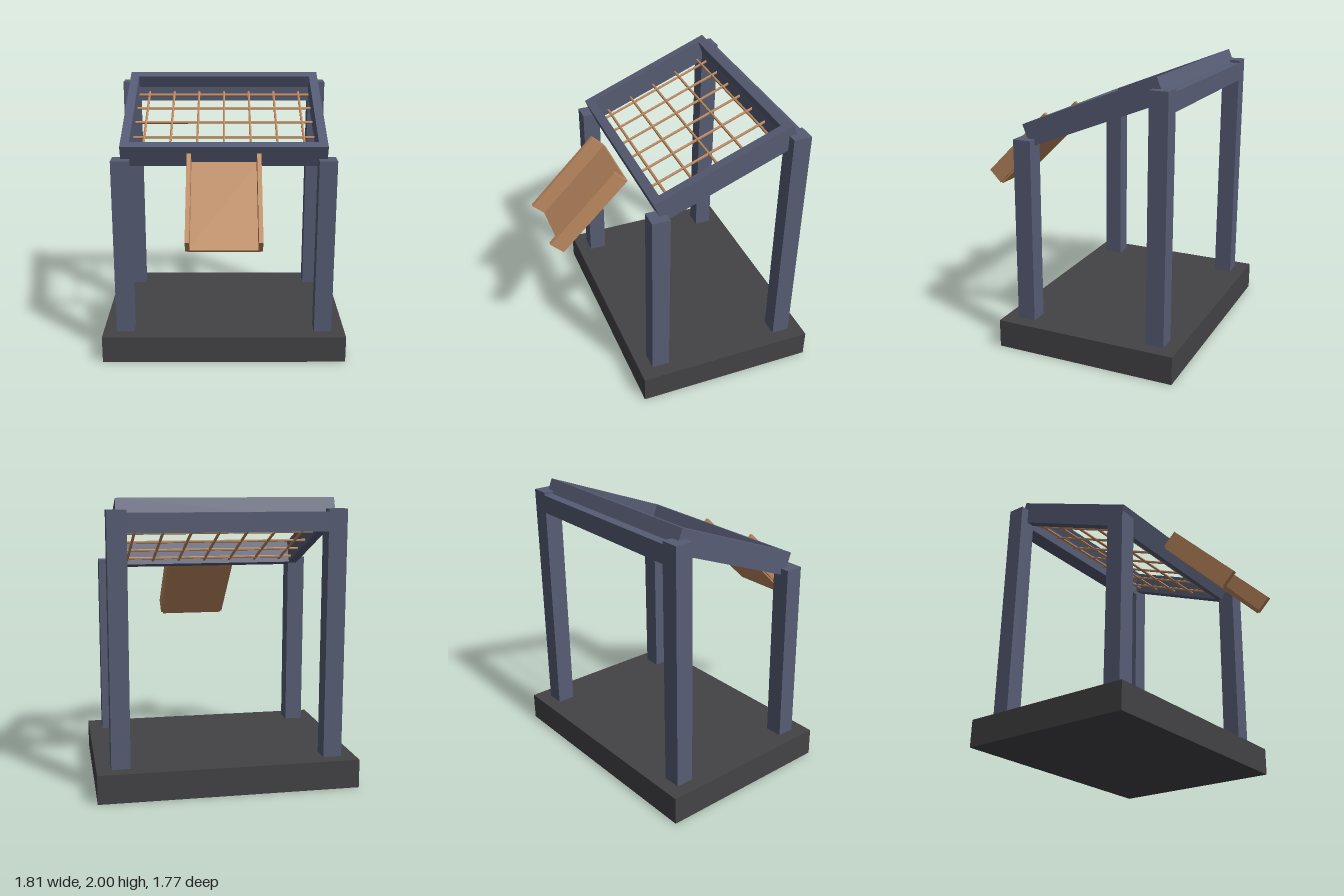
import * as THREE from 'three';

const flat = (name, color) => {
  const m = new THREE.MeshStandardMaterial({ color });
  m.name = name;
  return m;
};

export function createModel() {
  const model = new THREE.Group();
  model.name = 'sievingStand';
  const steel = flat('blueSteel', 0x565c74);
  const stone = flat('darkBase', 0x434245);
  const copper = flat('copperTan', 0xbd8a60);

  const add = (parent, name, geometry, material, x, y, z) => {
    const mesh = new THREE.Mesh(geometry, material);
    mesh.name = name;
    mesh.position.set(x, y, z);
    parent.add(mesh);
    return mesh;
  };
  const box = (parent, name, material, [w, h, d], [x, y, z]) =>
    add(parent, name, new THREE.BoxGeometry(w, h, d), material, x, y, z);

  // Base slab
  box(model, 'base', stone, [1.81, 0.2, 1.315], [0, 0.1, -0.2275]);

  // Four posts, the back pair taller, joined by a back beam
  for (const side of [-1, 1]) {
    box(model, 'frontPost', steel, [0.13, 1.315, 0.13], [side * 0.74, 0.8575, 0.267]);
    box(model, 'backPost', steel, [0.13, 1.725, 0.13], [side * 0.74, 1.0625, -0.72]);
  }
  box(model, 'backBeam', steel, [1.35, 0.13, 0.13], [0, 1.84, -0.72]);

  // Tilted open frame
  const screen = new THREE.Group();
  screen.name = 'tiltedScreen';
  screen.position.set(0, 1.7285, -0.223);
  screen.rotation.x = 0.38;
  model.add(screen);
  const rect = (target, w, d) => {
    target.moveTo(-w, -d);
    target.lineTo(w, -d);
    target.lineTo(w, d);
    target.lineTo(-w, d);
    target.closePath();
    return target;
  };
  const outline = rect(new THREE.Shape(), 0.74, 0.525);
  outline.holes.push(rect(new THREE.Path(), 0.675, 0.46));
  const frame = new THREE.ExtrudeGeometry(outline, { depth: 0.165, bevelEnabled: false });
  frame.rotateX(-Math.PI / 2);
  add(screen, 'screenFrame', frame, steel, 0, -0.0825, 0);

  // Grid of thin rods low in the frame
  const rod = (name, length) => {
    const g = new THREE.CylinderGeometry(0.01, 0.01, length, 6).toNonIndexed();
    g.computeVertexNormals();
    return add(screen, name, g, copper, 0, -0.053, 0);
  };
  for (let i = -3; i <= 3; i++) {
    const r = rod('lengthwiseRod', 0.93);
    r.rotation.x = Math.PI / 2;
    r.position.x = i * 0.198;
  }
  for (let i = -2; i <= 2; i++) {
    const r = rod('crossRod', 1.36);
    r.rotation.z = Math.PI / 2;
    r.position.z = i * 0.2;
  }

  // Sloping chute with side walls
  const chute = new THREE.Group();
  chute.name = 'chute';
  chute.position.set(0, 1.246, 0.5415);
  chute.rotation.x = Math.PI / 4;
  model.add(chute);
  box(chute, 'chuteFloor', copper, [0.49, 0.025, 0.69], [0, 0.0125, 0]);
  for (const side of [-1, 1]) {
    box(chute, 'chuteWall', copper, [0.03, 0.129, 0.69], [side * 0.245, 0.0765, 0]);
  }
  return model;
}
